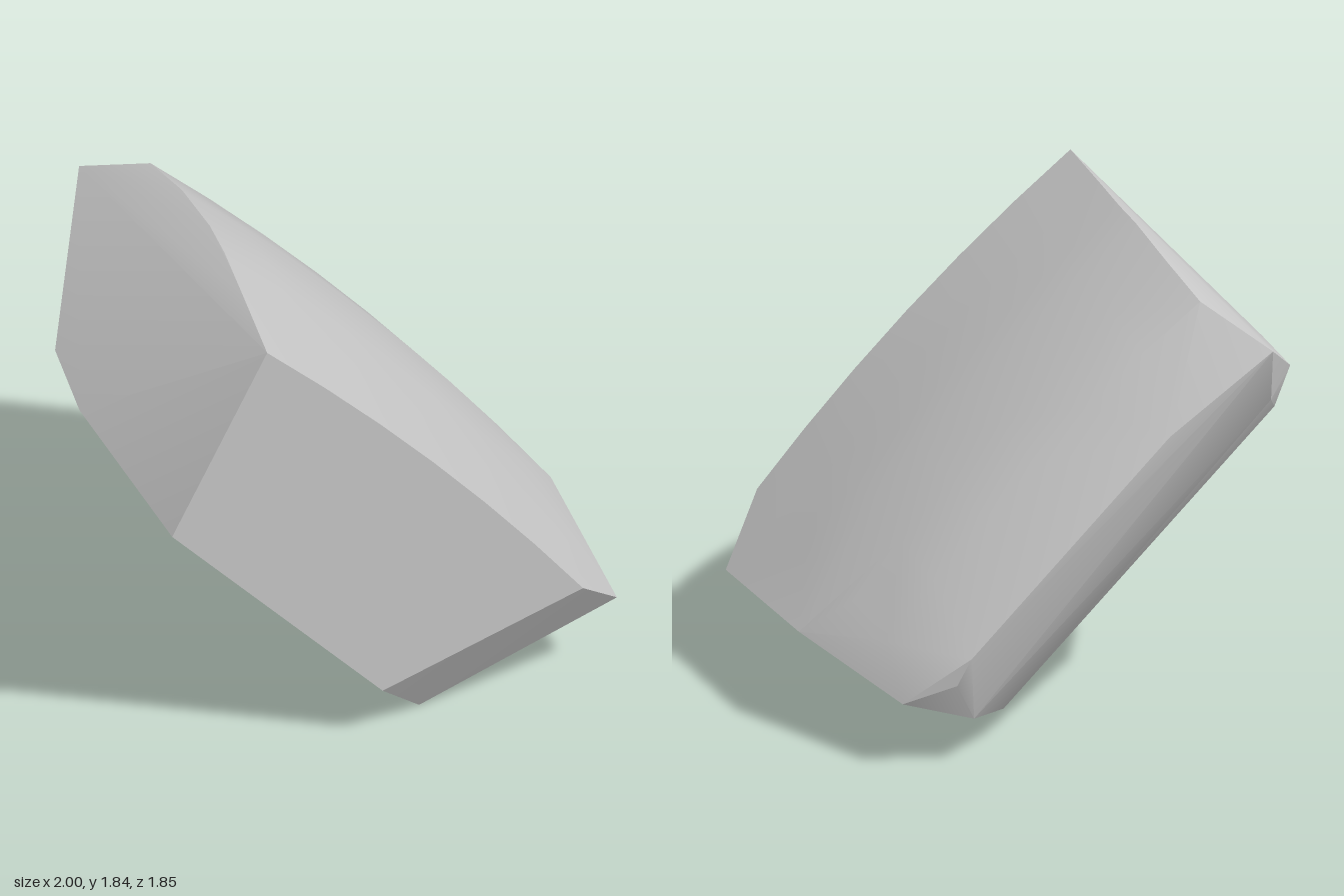
import * as THREE from 'three';
import { ConvexGeometry } from 'three/addons/geometries/ConvexGeometry.js';
import { toCreasedNormals } from 'three/addons/utils/BufferGeometryUtils.js';

export function createModel() {
  const group = new THREE.Group();
  group.name = 'stoneChunk';
  const stone = new THREE.MeshStandardMaterial({ color: 0xc8c8c8 });
  stone.name = 'stone grey';

  const points = [];
  const add = (...list) => list.forEach(p => points.push(new THREE.Vector3(...p)));

  // Curved upper slope: the same arc at several depths, sinking towards the back
  const arc = new THREE.QuadraticBezierCurve(
    new THREE.Vector2(-0.42, 1.84), new THREE.Vector2(0.26, 1.28), new THREE.Vector2(0.81, 0.59)).getPoints(6);
  const slices = [[0.92, 0, 0], [0.5, 0, 0], [0.2, 0, 0.003], [0, 0.01, 0.01], [-0.34, 0.04, 0.06], [-0.65, 0.09, 0.13]];
  for (const [z, dx, dy] of slices) add(...arc.map(p => [p.x - dx, p.y - dy, z]));

  // Lower corners of the flat front face
  add([0.03, 0.24, 0.92], [-0.79, 1.06, 0.92]);

  // Angled facet at the low end
  add([1, 0.36, 0.67], [0.94, 0.37, -0.18], [0.7, 0.255, -0.81], [0.42, 0.175, -0.81],
    [0.235, 0.12, -0.55], [0.23, 0.03, -0.14], [0.215, 0.005, 0.3], [0.225, 0, 0.69]);

  // Back ridge between slope and underside
  add([0.51, 0.34, -0.9], [0.46, 0.45, -0.925], [-0.32, 1.27, -0.92], [-0.73, 1.57, -0.9]);

  // Outer corners of the high end, and the underside swelling behind them
  add([-1, 1.26, -0.14], [-1, 1.25, 0.27], [-0.77, 1.32, -0.72], [-0.85, 1.21, -0.47]);

  const chunk = new THREE.Mesh(toCreasedNormals(new ConvexGeometry(points), 0.5), stone);
  chunk.name = 'stoneBody';
  group.add(chunk);
  return group;
}
